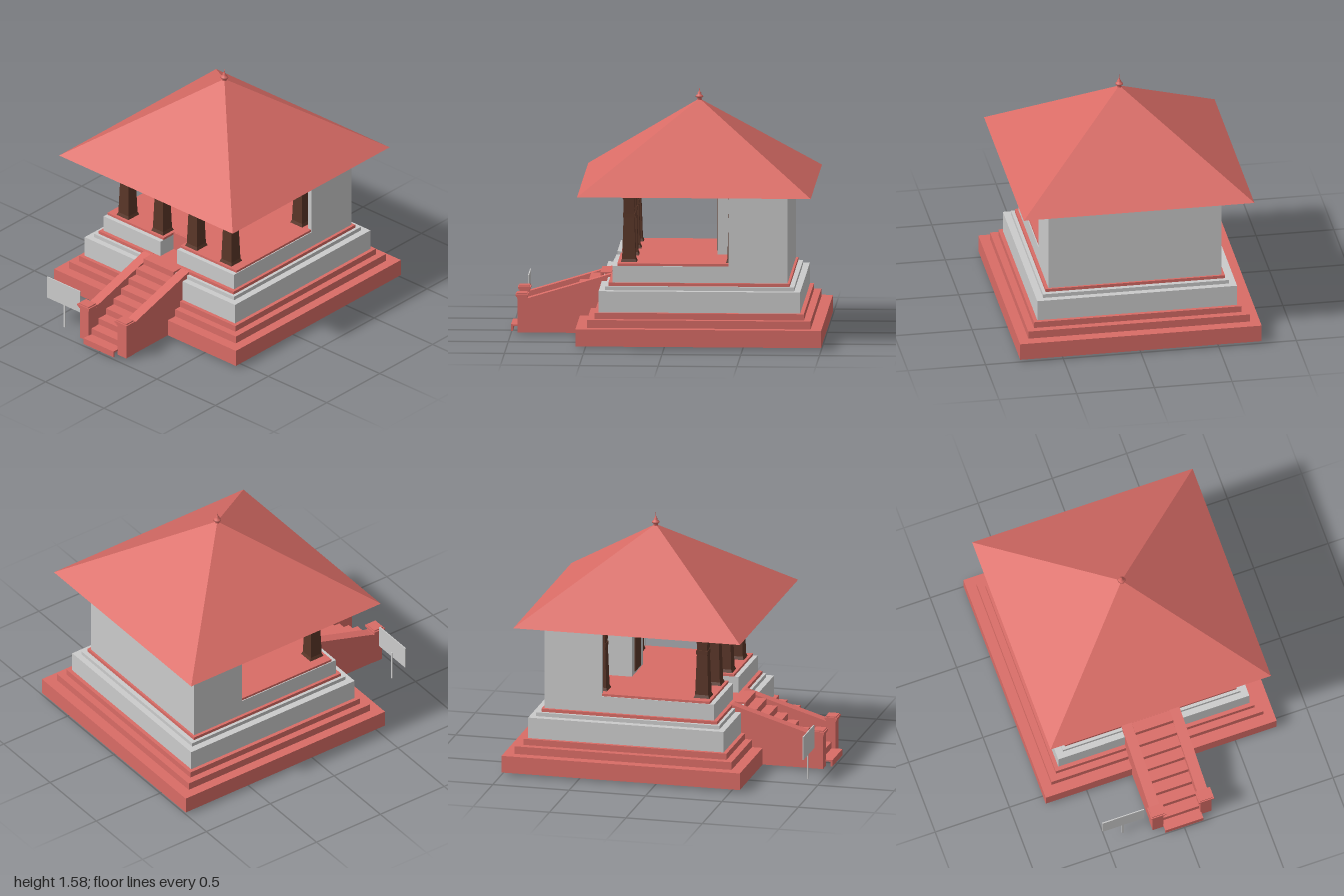
import * as THREE from 'three';

const red = new THREE.MeshStandardMaterial({ color: 0xd96c66 });
const redTwoSided = new THREE.MeshStandardMaterial({ color: 0xd96c66, side: THREE.DoubleSide, flatShading: true });
const grey = new THREE.MeshStandardMaterial({ color: 0xcccccc });
const brown = new THREE.MeshStandardMaterial({ color: 0x5a3628, flatShading: true });

export function createModel() {
  const model = new THREE.Group();

  const add = (name, geometry, material, parent = model) => {
    const mesh = new THREE.Mesh(geometry, material);
    mesh.name = name;
    parent.add(mesh);
    return mesh;
  };
  // Box given by its limits on each axis
  const block = (name, material, [x0, x1], [y0, y1], [z0, z1], parent = model) => {
    const mesh = add(name, new THREE.BoxGeometry(x1 - x0, y1 - y0, z1 - z0), material, parent);
    mesh.position.set((x0 + x1) / 2, (y0 + y1) / 2, (z0 + z1) / 2);
    return mesh;
  };
  // Side profile in (z, y), extruded along x from x0 to x1
  const sideProfile = (name, points, x0, x1, material) => {
    const shape = new THREE.Shape(points.map(([z, y]) => new THREE.Vector2(-z, y)));
    const geometry = new THREE.ExtrudeGeometry(shape, { depth: x1 - x0, bevelEnabled: false });
    geometry.rotateY(Math.PI / 2);
    geometry.translate(x0, 0, 0);
    return add(name, geometry, material);
  };
  // Square frustum: half widths at bottom and top
  const frustum = (name, bottom, top, y0, y1, material, parent) => {
    const geometry = new THREE.CylinderGeometry(top * Math.SQRT2, bottom * Math.SQRT2, y1 - y0, 4);
    geometry.rotateY(Math.PI / 4);
    geometry.translate(0, (y0 + y1) / 2, 0);
    return add(name, geometry.toNonIndexed(), material, parent);
  };

  // Stepped base, from the ground up: half width, bottom, top, back, front
  [
    ['baseStep', red, 0.777, 0.015, 0.125, -1.0, 0.56],
    ['baseStep', red, 0.713, 0.125, 0.175, -0.93, 0.49],
    ['baseStep', red, 0.668, 0.175, 0.215, -0.885, 0.445],
    ['plinth', grey, 0.643, 0.215, 0.35, -0.86, 0.42],
    ['plinthLedge', grey, 0.598, 0.35, 0.375, -0.82, 0.38],
    ['plinthTrim', red, 0.577, 0.375, 0.395, -0.79, 0.36],
  ].forEach(([name, material, w, y0, y1, z0, z1]) => block(name, material, [-w, w], [y0, y1], [z0, z1]));

  // Upper platform and floor, notched at the front for the stair
  const notched = (name, material, w, y0, y1, back, front) => {
    const notch = 0.2;
    const shape = new THREE.Shape([
      [-w, back], [w, back], [w, front], [0.072, front],
      [0.072, notch], [-0.072, notch], [-0.072, front], [-w, front],
    ].map(([x, z]) => new THREE.Vector2(x, -z)));
    const geometry = new THREE.ExtrudeGeometry(shape, { depth: y1 - y0, bevelEnabled: false });
    geometry.rotateX(-Math.PI / 2);
    geometry.translate(0, y0, 0);
    add(name, geometry, material);
  };
  notched('platform', grey, 0.557, 0.395, 0.5, -0.775, 0.335);
  notched('floor', red, 0.551, 0.5, 0.515, -0.77, 0.305);
  block('topRiser', red, [-0.071, 0.071], [0.395, 0.514], [0.195, 0.21]);

  // Walls on the back and both sides, open to the porch
  block('backWall', grey, [-0.557, 0.557], [0.5, 0.99], [-0.775, -0.745]);
  for (const s of [-1, 1]) {
    const x = s * 0.542;
    block('sideWall', grey, [x - 0.015, x + 0.015], [0.5, 0.99], [-0.745, -0.4]);
  }

  // Inner sanctum with stepped cornice and door
  block('sanctum', grey, [-0.14, 0.14], [0.515, 0.99], [-0.62, -0.31]);
  [0.01, 0.02, 0.03, 0.04].forEach((out, i) => {
    const y = 0.9 + i * 0.016;
    block('cornice', grey, [-0.14 - out, 0.14 + out], [y, i === 3 ? 0.985 : y + 0.016], [-0.62 - out, -0.31 + out]);
  });
  block('door', brown, [-0.07, 0.07], [0.53, 0.89], [-0.33, -0.305]);

  // Carved columns: four across the front, two beside the side walls
  const columnAt = (x, z) => {
    const column = new THREE.Group();
    column.name = 'column';
    frustum('columnFoot', 0.051, 0.043, 0.515, 0.535, brown, column);
    frustum('columnShaft', 0.043, 0.034, 0.535, 0.8, brown, column);
    frustum('columnNeck', 0.038, 0.038, 0.8, 0.825, brown, column);
    frustum('columnTop', 0.033, 0.036, 0.825, 0.92, brown, column);
    frustum('columnHead', 0.039, 0.039, 0.92, 0.968, brown, column);
    block('bracketX', brown, [-0.09, 0.09], [0.968, 0.99], [-0.035, 0.035], column);
    block('bracketZ', brown, [-0.035, 0.035], [0.968, 0.99], [-0.09, 0.09], column);
    column.position.set(x, 0, z);
    model.add(column);
  };
  [-0.44, -0.145, 0.145, 0.44].forEach((x) => columnAt(x, 0.235));
  [-0.44, 0.44].forEach((x) => columnAt(x, -0.433));

  // Ceiling and hollow pyramid roof
  block('ceiling', brown, [-0.58, 0.58], [0.988, 1.04], [-0.79, 0.34]);
  const roof = new THREE.ConeGeometry(0.742 * Math.SQRT2, 0.53, 4, 1, true);
  roof.rotateY(Math.PI / 4);
  add('roof', roof, redTwoSided).position.set(0, 1.23, -0.19);

  // Finial
  const finial = [
    [0.012, 1.48], [0.016, 1.492], [0.012, 1.498], [0.025, 1.506], [0.022, 1.514],
    [0.01, 1.524], [0.013, 1.53], [0.005, 1.54], [0.002, 1.555], [0, 1.575],
  ].map(([r, y]) => new THREE.Vector2(r, y));
  add('finial', new THREE.LatheGeometry(finial, 16), red).position.z = -0.19;

  // Stair: a folded slab, open underneath
  const count = 9, run = 0.071, rise = 0.0425, thick = 0.012;
  const upper = [[1, 0.015]], lower = [[1 - thick, 0.015]];
  for (let i = 0; i < count; i++) {
    const y = 0.057 + i * rise, z = 1 - i * run;
    upper.push([z, y], [z - run, y]);
    lower.push([z - thick, y - thick], [z - run - thick, y - thick]);
  }
  sideProfile('stair', [...upper, ...lower.reverse()], -0.128, 0.128, red);

  // Sloping stair walls with capped end posts
  for (const s of [-1, 1]) {
    const cx = s * 0.161;
    sideProfile('stairWall', [[0.955, 0.015], [0.955, 0.232], [0.9, 0.232], [0.355, 0.396], [0.335, 0.396], [0.335, 0.015]],
      cx - 0.034, cx + 0.034, red);
    block('endPost', red, [cx - 0.037, cx + 0.037], [0.015, 0.235], [0.882, 0.956]);
    [[0.041, 0.233, 0.243], [0.046, 0.243, 0.251], [0.051, 0.251, 0.262], [0.042, 0.262, 0.27]].forEach(([w, y0, y1]) =>
      block('postCap', red, [cx - w, cx + w], [y0, y1], [0.927 - w * 0.8, 0.927 + w * 0.8]));
  }

  // Notice board on a post
  block('noticeBoard', grey, [-0.52, -0.24], [0.165, 0.317], [0.904, 0.911]);
  block('noticePost', grey, [-0.386, -0.374], [0, 0.2], [0.898, 0.905]);

  return model;
}
